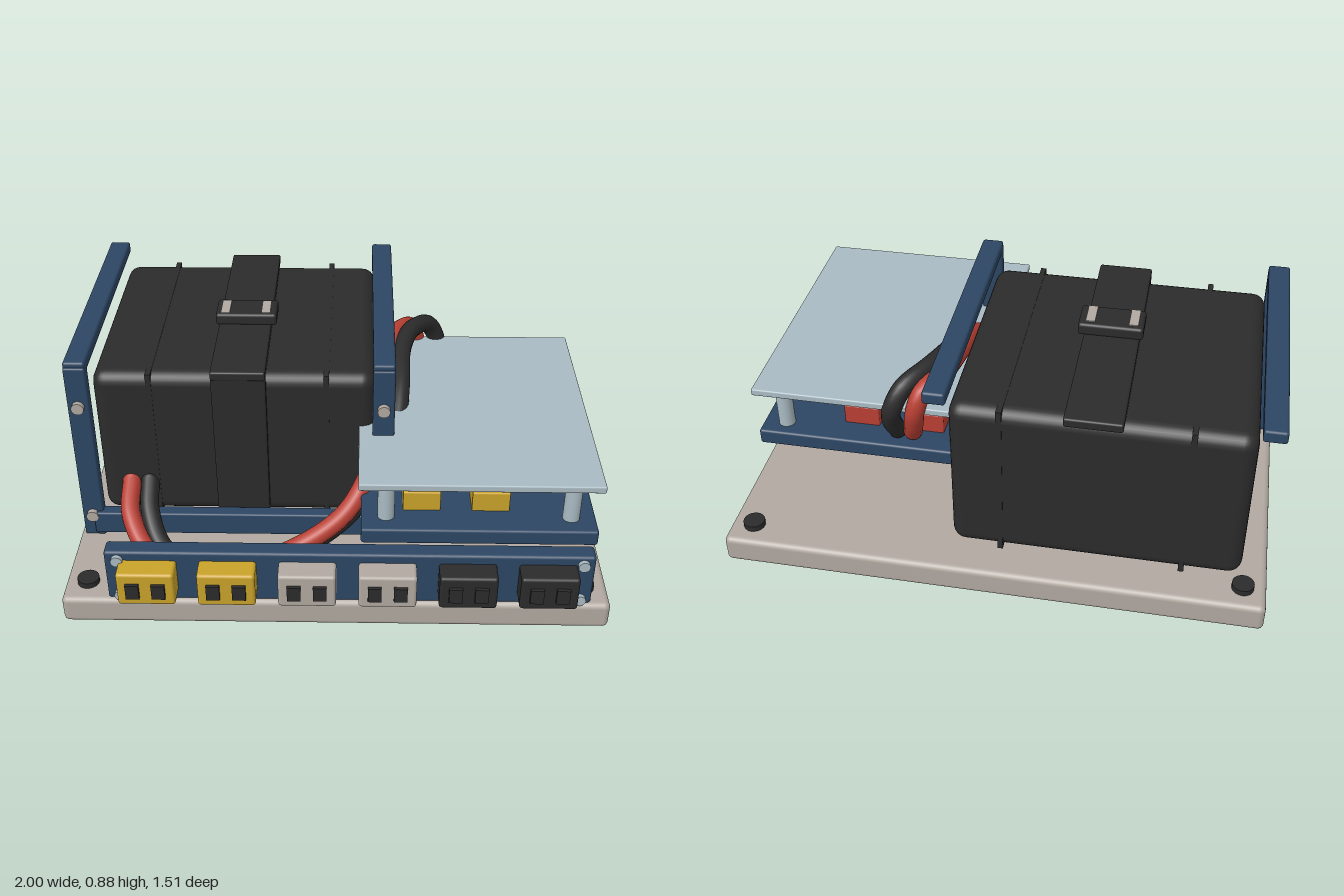
import * as THREE from 'three';
import { RoundedBoxGeometry } from 'three/addons/geometries/RoundedBoxGeometry.js';

export function createModel() {
  const root = new THREE.Group();
  const mat = (name, color) => {
    const m = new THREE.MeshStandardMaterial({ color });
    m.name = name;
    return m;
  };
  const stone = mat('warm grey', 0xb0a8a0);
  const navy = mat('navy blue', 0x2c4663);
  const black = mat('black', 0x2b2b2b);
  const yellow = mat('yellow', 0xc9a22a);
  const red = mat('red', 0xb83f33);
  const pale = mat('pale blue grey', 0xa9bac2);

  const add = (name, geo, material, parent = root) => {
    const m = new THREE.Mesh(geo, material);
    m.name = name;
    parent.add(m);
    return m;
  };
  // box given by its limits on each axis, with optional edge rounding
  const box = (name, material, [x0, x1], [y0, y1], [z0, z1], r = 0, parent = root) => {
    const s = [x1 - x0, y1 - y0, z1 - z0];
    const geo = r ? new RoundedBoxGeometry(...s, 3, r) : new THREE.BoxGeometry(...s);
    const m = add(name, geo, material, parent);
    m.position.set((x0 + x1) / 2, (y0 + y1) / 2, (z0 + z1) / 2);
    return m;
  };
  const cylinder = (name, material, r, h, x, y, z, facing = false, parent = root) => {
    const m = add(name, new THREE.CylinderGeometry(r, r, h, 24), material, parent);
    m.position.set(x, y, z);
    if (facing) m.rotation.x = Math.PI / 2;
    return m;
  };

  // base plate and its screws
  box('basePlate', stone, [-1, 1], [0, 0.11], [-0.76, 0.67], 0.022);
  for (const x of [-0.915, 0.91])
    for (const z of [-0.665, 0.57]) cylinder('baseScrew', black, 0.04, 0.024, x, 0.12, z);

  // battery with thin ribs, strap and buckle
  const battery = new THREE.Group();
  battery.name = 'battery';
  root.add(battery);
  box('batteryCase', black, [-0.9, 0.14], [0.18, 0.8], [-0.69, 0.23], 0.05, battery);
  for (const x of [-0.69, -0.04])
    box('batteryRib', black, [x - 0.01, x + 0.01], [0.178, 0.802], [-0.692, 0.232], 0, battery);
  box('strapTop', black, [-0.46, -0.26], [0.795, 0.83], [-0.72, 0.26], 0.008, battery);
  box('strapFront', black, [-0.46, -0.26], [0.18, 0.82], [0.22, 0.255], 0.008, battery);
  box('buckle', black, [-0.472, -0.238], [0.825, 0.873], [-0.23, -0.1], 0.012, battery);
  for (const x of [-0.435, -0.28])
    box('buckleTab', stone, [x - 0.017, x + 0.017], [0.87, 0.877], [-0.21, -0.11], 0, battery);

  // frame around the battery: two posts with arms, joined by a crossbar
  for (const x of [-0.94, 0.17]) {
    const bracket = new THREE.Group();
    bracket.name = 'bracket';
    root.add(bracket);
    box('bracketPost', navy, [x - 0.04, x + 0.04], [0.11, 0.86], [0.245, 0.292], 0.008, bracket);
    box('bracketArm', navy, [x - 0.04, x + 0.04], [0.833, 0.88], [-0.73, 0.285], 0.01, bracket);
    for (const y of [0.21, 0.7])
      cylinder('bracketBolt', stone, 0.023, 0.03, x, y, 0.297, true, bracket);
  }
  box('crossbar', navy, [-0.935, 0.2], [0.13, 0.225], [0.255, 0.308], 0.008);

  // front panel with a row of sockets
  box('frontPanel', navy, [-0.825, 0.925], [0.11, 0.325], [0.59, 0.66], 0.012);
  for (const x of [-0.778, 0.882])
    for (const y of [0.135, 0.292]) cylinder('panelBolt', pale, 0.021, 0.025, x, y, 0.664, true);
  [yellow, yellow, stone, stone, black, black].forEach((m, i) => {
    const x = -0.67 + i * 0.2856;
    const socket = new THREE.Group();
    socket.name = 'socket';
    root.add(socket);
    box('socketBody', m, [x - 0.103, x + 0.103], [0.152, 0.29], [0.65, 0.742], 0.012, socket);
    for (const s of [-1, 1]) {
      const c = x + s * 0.046;
      box('socketPin', black, [c - 0.024, c + 0.024], [0.19, 0.25], [0.73, 0.755], 0, socket);
    }
  });

  // circuit board, relay blocks, standoffs and cover
  box('circuitBoard', navy, [0.09, 0.935], [0.33, 0.392], [-0.45, 0.6], 0.01);
  for (const x of [0.31, 0.56])
    [0.427, 0.187, -0.05, -0.287].forEach((z, i) =>
      box('relay', i ? red : yellow, [x - 0.068, x + 0.068], [0.385, 0.47], [z - 0.055, z + 0.055], 0.005));
  for (const x of [0.18, 0.845])
    for (const z of [-0.38, 0.515]) cylinder('standoff', pale, 0.031, 0.18, x, 0.478, z);
  box('coverPlate', pale, [0.08, 0.94], [0.56, 0.588], [-0.455, 0.598], 0.006);

  // cables looping from the battery to the board
  const cable = (name, material, points) => {
    const curve = new THREE.CatmullRomCurve3(points.map((p) => new THREE.Vector3(...p)));
    add(name, new THREE.TubeGeometry(curve, 120, 0.036, 14), material);
    // closed ends
    for (const p of [points[0], points[points.length - 1]])
      add(name + 'End', new THREE.SphereGeometry(0.036, 14, 10), material).position.set(...p);
  };
  cable('redCable', red, [
    [-0.79, 0.325, 0.22], [-0.78, 0.25, 0.35], [-0.68, 0.16, 0.48], [-0.42, 0.15, 0.525],
    [-0.2, 0.2, 0.505], [0.02, 0.31, 0.42], [0.12, 0.43, 0.31], [0.18, 0.53, 0.15],
    [0.2, 0.62, 0], [0.21, 0.665, -0.2], [0.23, 0.675, -0.33], [0.29, 0.65, -0.43],
    [0.315, 0.58, -0.455], [0.33, 0.5, -0.43], [0.35, 0.42, -0.38],
  ]);
  cable('blackCable', black, [
    [-0.72, 0.325, 0.22], [-0.71, 0.25, 0.33], [-0.64, 0.165, 0.45], [-0.45, 0.15, 0.52],
    [-0.2, 0.175, 0.49], [0.03, 0.285, 0.4], [0.15, 0.42, 0.3], [0.22, 0.53, 0.15],
    [0.24, 0.62, 0], [0.25, 0.675, -0.2], [0.29, 0.688, -0.33], [0.36, 0.66, -0.43],
    [0.4, 0.58, -0.46], [0.415, 0.5, -0.43], [0.41, 0.42, -0.38],
  ]);

  return root;
}
